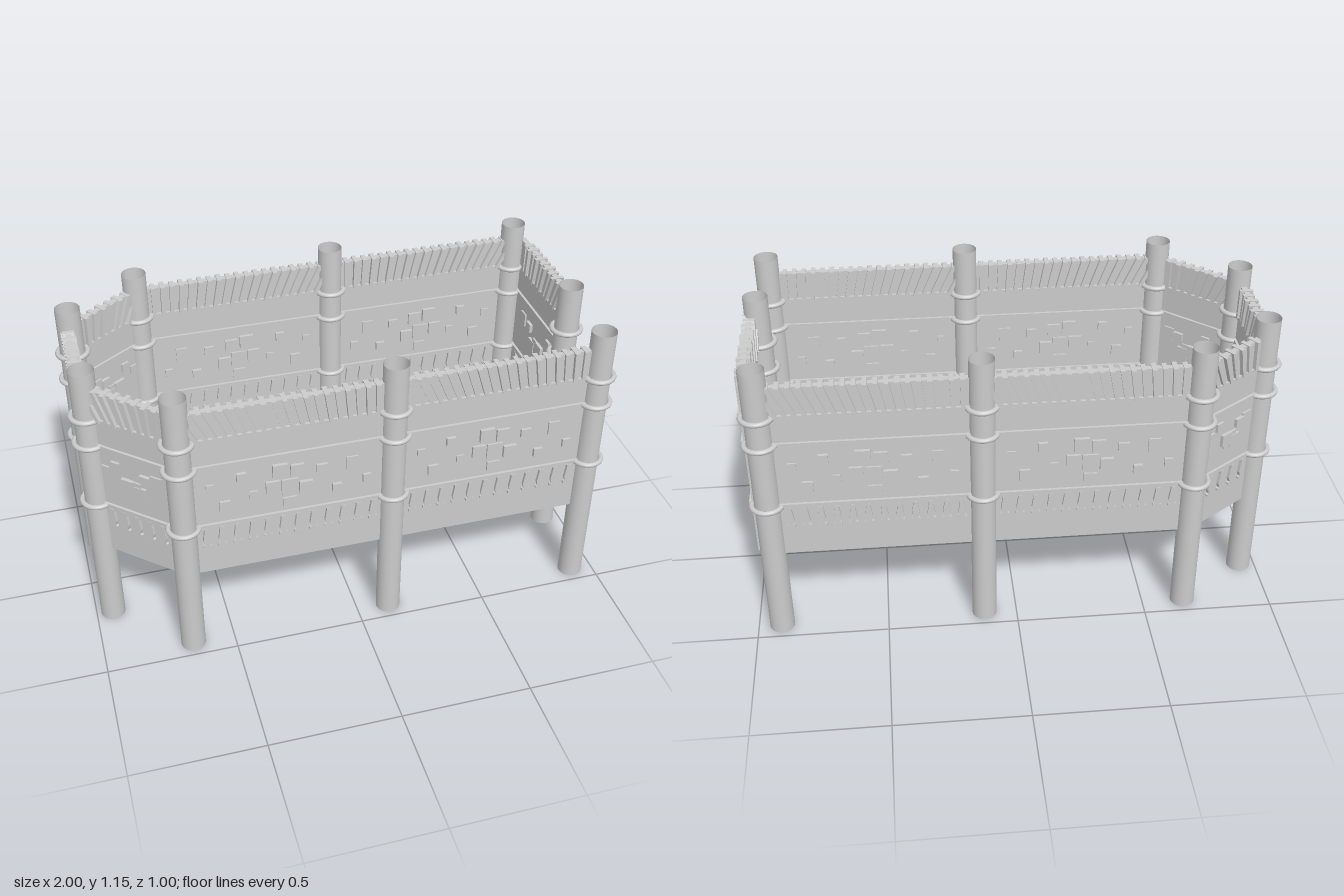
import * as THREE from 'three';

const mat = new THREE.MeshStandardMaterial({ color: 0xcccccc, side: THREE.DoubleSide });

function add(parent, name, geometry, x = 0, y = 0, z = 0) {
  const mesh = new THREE.Mesh(geometry, mat);
  mesh.name = name;
  mesh.position.set(x, y, z);
  parent.add(mesh);
  return mesh;
}

// Flat outline pushed through the wall so it stands out on both faces
function relief(points, depth) {
  const shape = new THREE.Shape(points.map(([x, y]) => new THREE.Vector2(x, y)));
  return new THREE.ExtrudeGeometry(shape, { depth, bevelEnabled: false }).translate(0, 0, -depth / 2);
}

const BOTTOM = 0.36, TOP = 1.08;
const RAILS = [0.58, 0.845, 0.96];

// Half outline of a vase-shaped baluster: [half width, height]
const VASE = [[0.008, 0.573], [0.008, 0.558], [0.01, 0.545], [0.014, 0.515],
  [0.009, 0.497], [0.016, 0.493], [0.016, 0.485]];

// Raised blocks: distance along the panel (0..1), height, width, height of block
const BLOCKS = [
  [0.09, 0.75, 0.03, 0.03], [0.16, 0.66, 0.04, 0.045], [0.25, 0.78, 0.035, 0.035],
  [0.31, 0.69, 0.03, 0.03], [0.41, 0.71, 0.05, 0.05], [0.45, 0.78, 0.055, 0.055],
  [0.50, 0.70, 0.06, 0.065], [0.54, 0.77, 0.05, 0.05], [0.585, 0.69, 0.05, 0.05],
  [0.50, 0.63, 0.05, 0.04], [0.67, 0.76, 0.04, 0.035], [0.75, 0.66, 0.035, 0.035],
  [0.83, 0.76, 0.045, 0.055], [0.91, 0.68, 0.03, 0.035],
];

// One wall panel from its left end to its right end as seen from outside
function makePanel([x0, z0], [x1, z1]) {
  const panel = new THREE.Group();
  panel.name = 'wallPanel';
  const length = Math.hypot(x1 - x0, z1 - z0);
  panel.position.set(x0, 0, z0);
  panel.rotation.y = Math.atan2(z0 - z1, x1 - x0);

  add(panel, 'board', new THREE.BoxGeometry(length, TOP - BOTTOM, 0.022), length / 2, (TOP + BOTTOM) / 2);
  for (const y of RAILS) {
    add(panel, 'rail', new THREE.BoxGeometry(length, 0.018, 0.042), length / 2, y);
  }

  // Slats fan from leaning at the left end to upright at the right end
  const inner = length - 0.1;
  const slats = Math.round(inner / 0.034);
  for (let i = 0; i < slats; i++) {
    const t = (i + 0.5) / slats;
    const x = 0.05 + t * inner;
    const lean = 0.065 * (1 - t);
    add(panel, 'slat', relief([[x - 0.008, 0.962], [x + 0.008, 0.962],
      [x + 0.01 - lean, TOP + 0.003], [x - 0.008 - lean, TOP + 0.003]], i % 2 ? 0.044 : 0.052));
  }

  // Balusters hanging under the lowest rail
  const count = Math.round(inner / 0.057);
  const outline = [...VASE.map(([w, y]) => [-w, y]), ...[...VASE].reverse()];
  const baluster = relief(outline, 0.046);
  for (let i = 0; i < count; i++) {
    add(panel, 'baluster', baluster, 0.05 + ((i + 0.5) / count) * inner);
  }

  // Short panels carry only every other block
  const blocks = length > 0.6 ? BLOCKS : BLOCKS.filter((b, i) => i % 2 === 0);
  blocks.forEach(([u, y, w, h], i) => {
    add(panel, 'block', new THREE.BoxGeometry(w, h, 0.036 + 0.006 * (i % 3)), 0.04 + u * (length - 0.08), y);
  });
  return panel;
}

// Open tubular post with three collars
function makePost([x, z]) {
  const post = new THREE.Group();
  post.name = 'post';
  post.position.set(x, 0, z);
  add(post, 'tube', new THREE.CylinderGeometry(0.047, 0.047, 1.15, 32, 1, true), 0, 0.575);
  for (const y of RAILS) {
    add(post, 'collar', new THREE.TorusGeometry(0.056, 0.01, 10, 32).rotateX(Math.PI / 2), 0, y);
  }
  return post;
}

export function createModel() {
  const model = new THREE.Group();
  model.name = 'enclosure';

  // Posts in order round the enclosure, starting at the right front corner
  const posts = [[0.91, -0.432], [0.125, -0.432], [-0.66, -0.432], [-0.935, -0.24],
    [-0.935, 0.18], [-0.66, 0.432], [0.125, 0.432], [0.91, 0.432]];
  posts.forEach((p) => model.add(makePost(p)));
  for (let i = 0; i < posts.length - 1; i++) {
    const end = i === 3 ? [[-0.945, -0.23], [-0.945, 0.17]] : [posts[i], posts[i + 1]];
    model.add(makePanel(...end));
  }

  // Side wall beside the entrance gap
  model.add(makePost([0.93, 0.1]));
  model.add(makePanel([0.955, 0.09], [0.955, -0.42]));
  return model;
}
